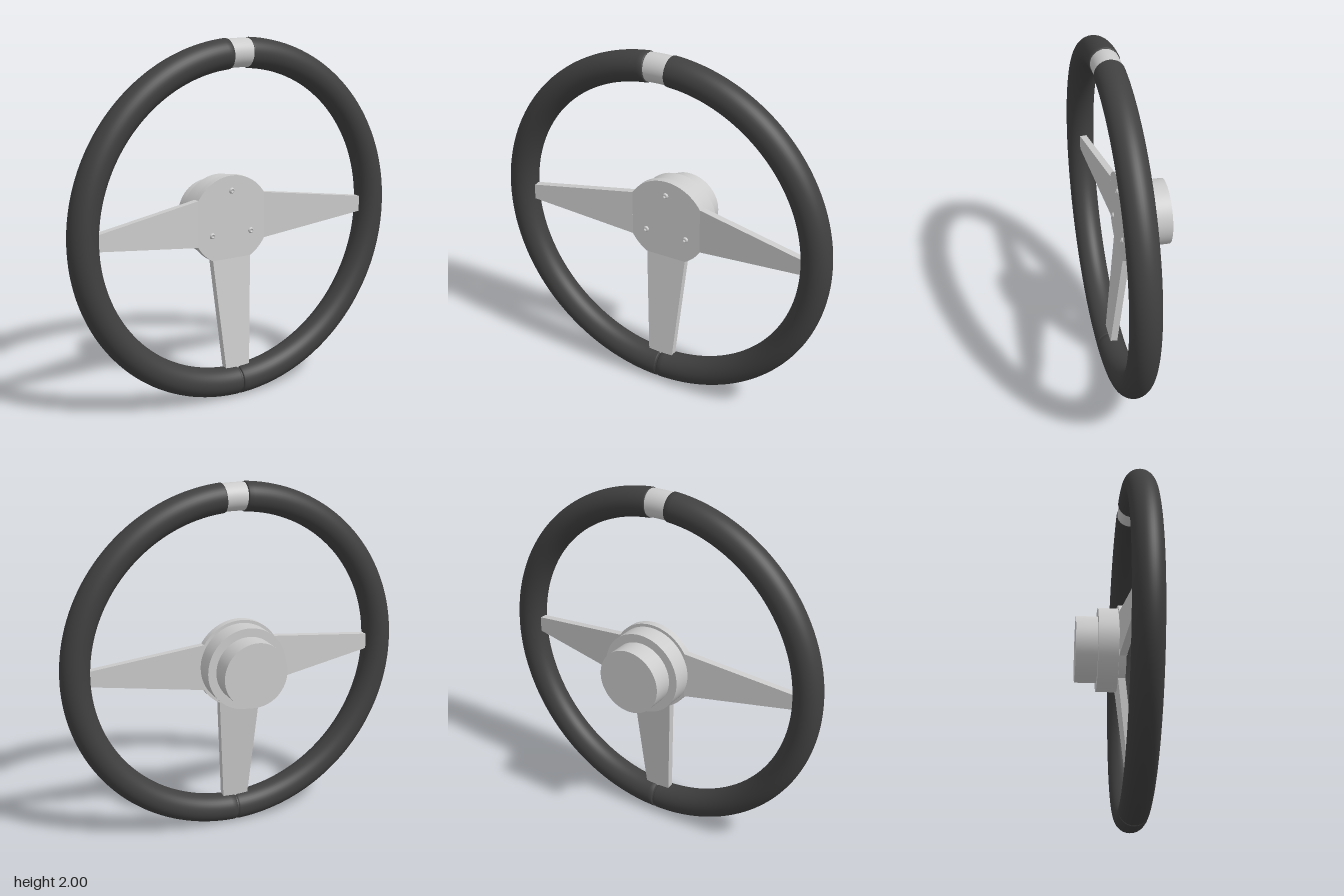
import * as THREE from 'three';
import { ParametricGeometry } from 'three/addons/geometries/ParametricGeometry.js';

const R = 0.918, TUBE = 0.082, RIM_Z = 0.12;   // rim ring
const PLATE_R = 0.25, PLATE_Z = 0.03, PLATE_T = 0.04; // centre plate
const rad = THREE.MathUtils.degToRad;

export function createModel() {
  const wheel = new THREE.Group();
  wheel.name = 'steeringWheel';
  wheel.position.y = 1;

  const metal = new THREE.MeshStandardMaterial({ color: 0xcccccc });
  const grip = new THREE.MeshStandardMaterial({ color: 0x404040 });

  const add = (name, geometry, material = metal) => {
    const mesh = new THREE.Mesh(geometry, material);
    mesh.name = name;
    wheel.add(mesh);
    return mesh;
  };

  // Arc of the rim; with soft ends the tube closes in at both ends
  const rimArc = (from, to, tube, slices, softEnds) => {
    const edge = [[0, 0.065], [0.001, 0.077], [0.004, 0.0805], [0.009, tube]];
    const point = (u, v, target) => {
      let a = from + (to - from) * u, r = tube;
      if (softEnds) {
        const s = u * slices, n = edge.length - 1;
        const k = Math.min(s, slices - s);
        if (k < n) {
          const i = Math.floor(k), f = k - i;
          const d = THREE.MathUtils.lerp(edge[i][0], edge[i + 1][0], f);
          r = THREE.MathUtils.lerp(edge[i][1], edge[i + 1][1], f);
          a = s < slices / 2 ? from + d : to - d;
        } else {
          const margin = edge[n][0];
          a = from + margin + (to - from - 2 * margin) * (s - n) / (slices - 2 * n);
        }
      }
      const b = v * Math.PI * 2;
      const q = R + r * Math.cos(b);
      target.set(q * Math.cos(a), q * Math.sin(a), RIM_Z + r * Math.sin(b));
    };
    return new ParametricGeometry(point, slices, 40);
  };

  // Two grip halves, parted by a sleeve at the top and a seam at the bottom
  const top = Math.PI / 2, gap = 0.064, seam = 0.004;
  add('leftGrip', rimArc(-top + seam, top - gap, TUBE, 110, true), grip);
  add('rightGrip', rimArc(top + gap, 3 * top - seam, TUBE, 110, true), grip);
  add('topSleeve', rimArc(top - 0.08, top + 0.08, 0.077, 12, false));
  add('bottomSeam', rimArc(-top - 0.015, -top + 0.015, 0.076, 4, false), grip);

  // Centre plate: round, cut straight where the spokes begin
  const disc = new THREE.Shape();
  for (const [a, b] of [[32, 148], [211, 241], [299, 329]]) {
    disc.absarc(0, 0, PLATE_R, rad(a), rad(b), false);
  }
  disc.closePath();
  const extrude = (shape) => new THREE.ExtrudeGeometry(shape, {
    depth: PLATE_T, bevelEnabled: false, curveSegments: 32,
  }).translate(0, 0, PLATE_Z);
  add('centrePlate', extrude(disc));

  // Tapered spokes, drawn outward from root to tip and sloping forward to the rim
  const spoke = (name, root, tip, rise) => {
    const shape = new THREE.Shape([...root, ...tip].map(([x, y]) => new THREE.Vector2(x, y)));
    const geometry = extrude(shape);
    const p = geometry.attributes.position;
    const vertical = name === 'bottomSpoke';
    const reach = (x, y) => vertical ? -y : Math.abs(x);
    const start = reach(...root[0]), end = reach(...tip[0]);
    for (let i = 0; i < p.count; i++) {
      const t = (reach(p.getX(i), p.getY(i)) - start) / (end - start);
      p.setZ(i, p.getZ(i) + rise * t);
    }
    geometry.computeVertexNormals();
    add(name, geometry);
  };
  const onDisc = (deg) => [PLATE_R * Math.cos(rad(deg)), PLATE_R * Math.sin(rad(deg))];
  for (const [name, s] of [['leftSpoke', 1], ['rightSpoke', -1]]) {
    const side = ([x, y]) => [s * x, y];
    spoke(name, [onDisc(32), onDisc(-31)].map(side),
      [[0.88, -0.037], [0.88, 0.041]].map(side), 0.07);
  }
  spoke('bottomSpoke', [onDisc(241), onDisc(299)], [[0.073, -0.88], [-0.073, -0.88]], 0.07);

  // Hub: two stepped cylinders behind the plate
  const drum = (name, radius, back, front) => {
    const g = new THREE.CylinderGeometry(radius, radius, front - back, 64);
    add(name, g.rotateX(Math.PI / 2).translate(0, 0, (front + back) / 2));
  };
  drum('hubFlange', 0.233, -0.08, PLATE_Z + 0.005);
  drum('hubBoss', 0.185, -0.2, -0.08);

  // Button-head bolts with a recessed socket
  const profile = [[0, 0.003], [0.008, 0.003], [0.008, 0.011], [0.012, 0.0095], [0.0155, 0.005], [0.017, 0]]
    .map(([x, y]) => new THREE.Vector2(x, y)).reverse();
  const bolt = new THREE.LatheGeometry(profile, 20).rotateX(Math.PI / 2);
  for (const [x, y] of [[0, 0.165], [-0.125, -0.075], [0.125, -0.075]]) {
    add('bolt', bolt).position.set(x, y, PLATE_Z + PLATE_T);
  }

  return wheel;
}
